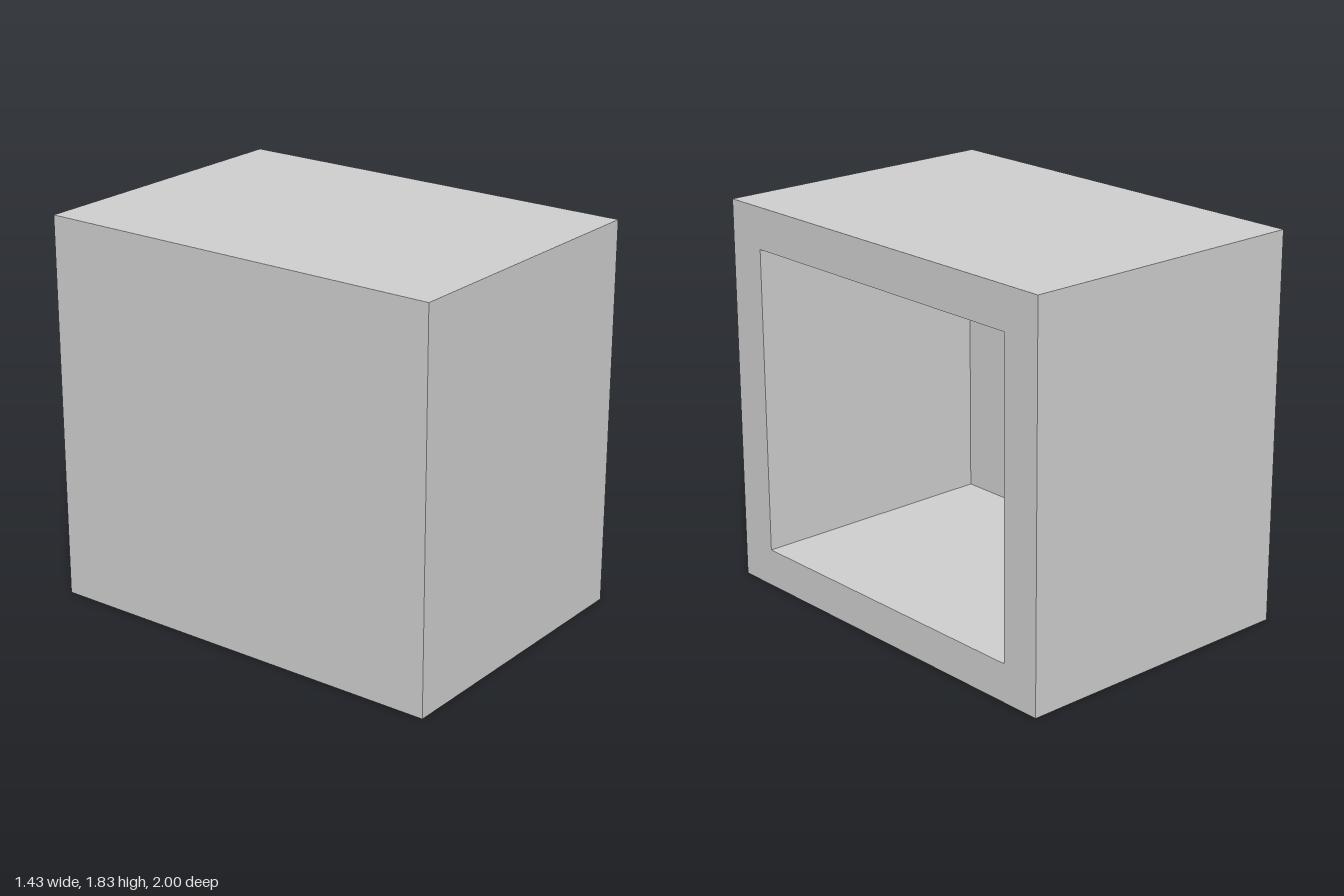
import * as THREE from 'three';

const SIZE = [1.43, 1.825, 2];       // outer block
const OPEN = { y0: 0.18, y1: 1.63, z: 0.805 };
const DEPTH = 1.24;                  // cavity depth from the +x face
const RECESS = { r: 0.352, depth: 0.07 };
const Q = Math.PI / 2;

// Rotations that turn a panel from +z to each side
const SIDES = {
  px: { n: [1, 0, 0], rot: [0, Q, 0], wh: [2, 1] },
  nx: { n: [-1, 0, 0], rot: [0, -Q, 0], wh: [2, 1] },
  py: { n: [0, 1, 0], rot: [-Q, 0, 0], wh: [0, 2] },
  ny: { n: [0, -1, 0], rot: [Q, 0, 0], wh: [0, 2] },
  pz: { n: [0, 0, 1], rot: [0, 0, 0], wh: [0, 1] },
  nz: { n: [0, 0, -1], rot: [0, Math.PI, 0], wh: [0, 1] },
};
const OPPOSITE = { px: 'nx', nx: 'px', py: 'ny', ny: 'py', pz: 'nz', nz: 'pz' };

function rectangle(path, x0, y0, x1, y1) {
  path.moveTo(x0, y0);
  path.lineTo(x1, y0);
  path.lineTo(x1, y1);
  path.lineTo(x0, y1);
  path.closePath();
  return path;
}

export function createModel() {
  const model = new THREE.Group();
  model.name = 'hollowBlock';
  const grey = new THREE.MeshStandardMaterial({ color: 0xcccccc });
  grey.name = 'grey';

  // One flat face of a box, facing outward or into the box
  function panel(name, key, size, centre, inward, hole) {
    const { n, wh } = SIDES[key];
    const w = size[wh[0]] / 2, h = size[wh[1]] / 2;
    const shape = rectangle(new THREE.Shape(), -w, -h, w, h);
    if (hole) shape.holes.push(hole);
    const mesh = new THREE.Mesh(new THREE.ShapeGeometry(shape, 32), grey);
    mesh.name = name;
    mesh.rotation.set(...SIDES[inward ? OPPOSITE[key] : key].rot);
    mesh.position.set(...centre.map((c, i) => c + n[i] * size[i] / 2));
    model.add(mesh);
  }

  // Outer faces: window on +x, round hole underneath
  const centre = [0, SIZE[1] / 2, 0];
  const holes = {
    px: rectangle(new THREE.Path(), -OPEN.z, OPEN.y0 - centre[1], OPEN.z, OPEN.y1 - centre[1]),
    ny: new THREE.Path().absarc(0, 0, RECESS.r, 0, Math.PI * 2, true),
  };
  const outer = { px: 'openingFrame', nx: 'closedSide', py: 'top', ny: 'base', pz: 'front', nz: 'back' };
  for (const key in outer) panel(outer[key], key, SIZE, centre, false, holes[key]);

  // Cavity lining, open towards +x
  const cavity = [DEPTH, OPEN.y1 - OPEN.y0, OPEN.z * 2];
  const cavityCentre = [SIZE[0] / 2 - DEPTH / 2, (OPEN.y0 + OPEN.y1) / 2, 0];
  const inner = { nx: 'cavityEnd', py: 'cavityCeiling', ny: 'cavityFloor', pz: 'cavityFrontWall', nz: 'cavityBackWall' };
  for (const key in inner) panel(inner[key], key, cavity, cavityCentre, true);

  // Shallow round recess in the base
  const wall = new THREE.Mesh(new THREE.LatheGeometry(
    [new THREE.Vector2(RECESS.r, RECESS.depth), new THREE.Vector2(RECESS.r, 0)], 64), grey);
  wall.name = 'recessWall';
  const disc = new THREE.Mesh(new THREE.CircleGeometry(RECESS.r, 64), grey);
  disc.name = 'recessDisc';
  disc.rotation.x = Q;
  disc.position.y = RECESS.depth;
  model.add(wall, disc);

  return model;
}
